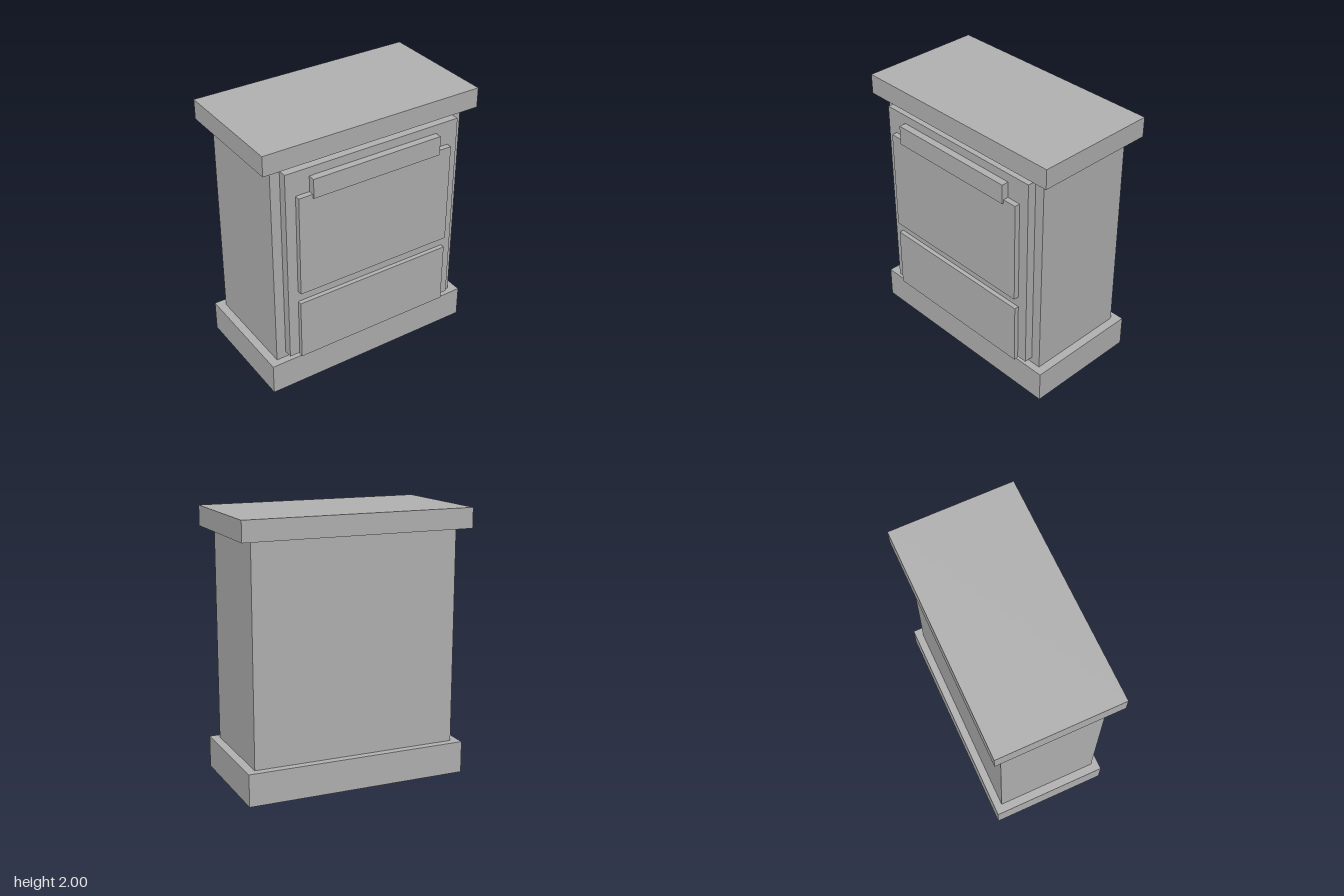
import * as THREE from 'three';

export function createModel() {
  const model = new THREE.Group();
  model.name = 'cabinet';

  const grey = new THREE.MeshStandardMaterial({ color: 0xb2b2b2 });
  grey.name = 'plain grey';

  // Box centred on x, given its half width and its y and z extents
  function addBox(name, halfWidth, [y0, y1], [z0, z1]) {
    const mesh = new THREE.Mesh(new THREE.BoxGeometry(halfWidth * 2, y1 - y0, z1 - z0), grey);
    mesh.name = name;
    mesh.position.set(0, (y0 + y1) / 2, (z0 + z1) / 2);
    model.add(mesh);
  }

  // Carcass
  addBox('plinth', 0.845, [0, 0.24], [-0.467, 0.424]);
  addBox('body', 0.781, [0.24, 1.85], [-0.408, 0.37]);
  addBox('worktop', 0.87, [1.85, 2], [-0.489, 0.445]);

  // Front: raised frame, two panels and a wide handle
  addBox('frontFrame', 0.707, [0.285, 1.805], [0.37, 0.436]);
  addBox('upperPanel', 0.629, [0.84, 1.62], [0.436, 0.477]);
  addBox('lowerPanel', 0.629, [0.275, 0.752], [0.436, 0.47]);
  addBox('handle', 0.521, [1.592, 1.74], [0.436, 0.49]);

  return model;
}
